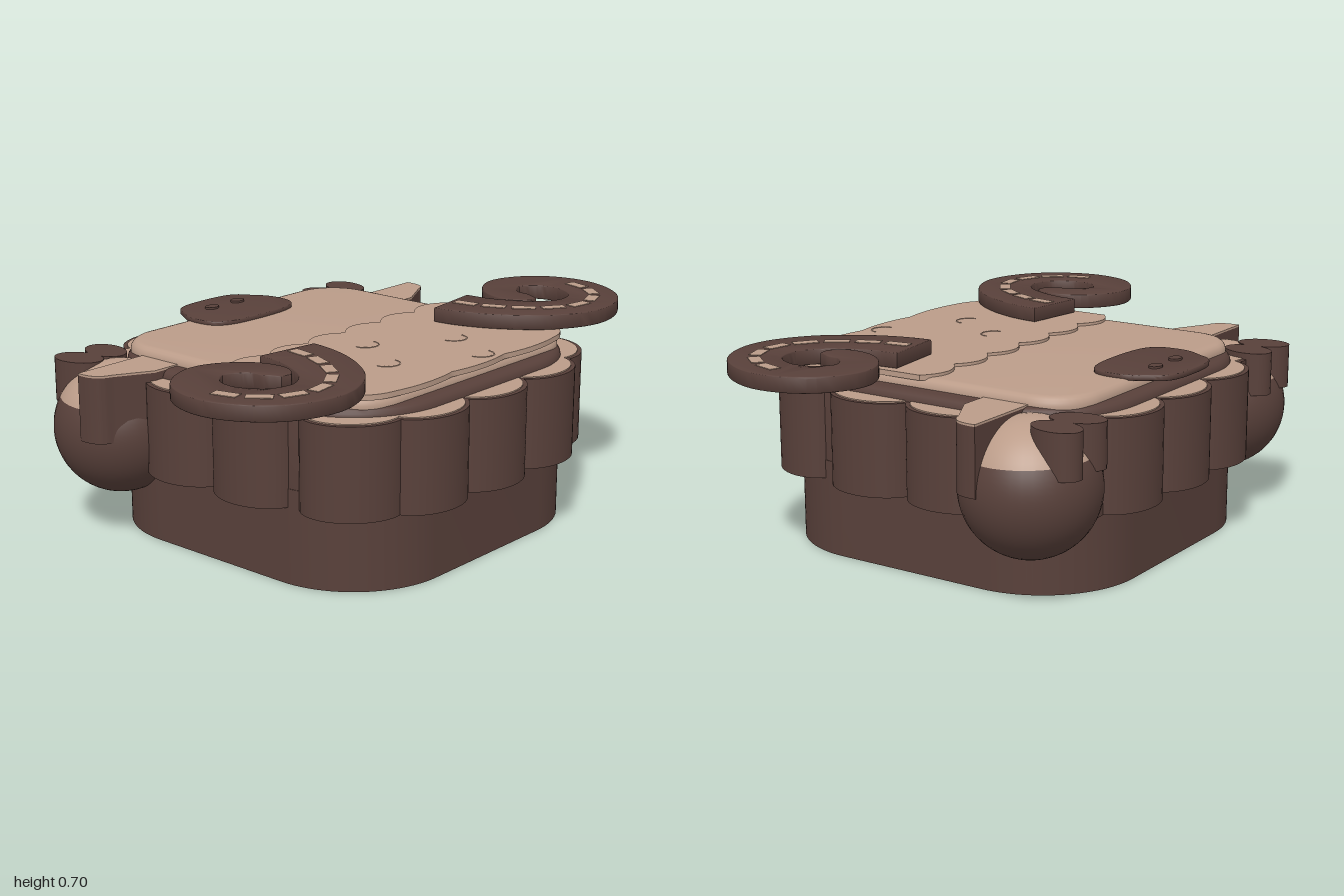
import * as THREE from 'three';
import { toCreasedNormals } from 'three/addons/utils/BufferGeometryUtils.js';

export function createModel() {
  const model = new THREE.Group();
  model.name = 'hornedBath';
  const dark = new THREE.MeshStandardMaterial({ color: 0x58403a });
  dark.name = 'dark brown';
  const tan = new THREE.MeshStandardMaterial({ color: 0xbb9c89 });
  tan.name = 'light brown';

  function add(name, geo, mat, x = 0, y = 0, z = 0) {
    const m = new THREE.Mesh(geo, mat);
    m.name = name;
    m.position.set(x, y, z);
    model.add(m);
    return m;
  }

  // Shapes are drawn with shape y = -z, then raised from y0 to y1
  function slab(name, shape, y0, y1, mat, bevel = 0, inset = bevel) {
    let geo = new THREE.ExtrudeGeometry(shape, {
      depth: y1 - y0 - 2 * bevel, curveSegments: 14, bevelEnabled: bevel > 0,
      bevelThickness: bevel, bevelSize: inset, bevelOffset: -inset, bevelSegments: 4,
    });
    geo.translate(0, 0, bevel);
    geo.rotateX(-Math.PI / 2);
    geo = toCreasedNormals(geo, 0.6);
    return add(name, geo, mat, 0, y0, 0);
  }

  function roundedRect(a, b, r, Type = THREE.Shape) {
    const s = new Type();
    s.moveTo(-a + r, -b);
    s.lineTo(a - r, -b);
    s.absarc(a - r, -b + r, r, -Math.PI / 2, 0);
    s.lineTo(a, b - r);
    s.absarc(a - r, b - r, r, 0, Math.PI / 2);
    s.lineTo(-a + r, b);
    s.absarc(-a + r, b - r, r, Math.PI / 2, Math.PI);
    s.lineTo(-a, -b + r);
    s.absarc(-a + r, -b + r, r, Math.PI, Math.PI * 1.5);
    return s;
  }

  // Body with a shallow recessed underside
  const skirt = roundedRect(0.628, 0.628, 0.35);
  skirt.holes.push(roundedRect(0.6, 0.6, 0.33, THREE.Path));
  slab('bodySkirt', skirt, 0, 0.32, dark);
  slab('bodyBlock', roundedRect(0.626, 0.626, 0.35), 0.22, 0.6, dark, 0.03);
  const lining = roundedRect(0.6, 0.6, 0.33);
  lining.holes.push(roundedRect(0.594, 0.594, 0.324, THREE.Path));
  slab('recessLining', lining, 0.004, 0.24, tan);
  slab('recessCeiling', roundedRect(0.594, 0.594, 0.324), 0.025, 0.25, tan, 0.06, 0.16);

  // Scalloped wool columns around the body: x, z, turn
  const scallops = [];
  for (const s of [-1, 1]) {
    scallops.push([0, 0.59 * s, 0]);
    for (const t of [-1, 1]) {
      scallops.push([0.295 * s, 0.578 * t, 0.08 * s * t], [0.588 * s, 0.152 * t, Math.PI / 2]);
      scallops.push([0.507 * s, 0.47 * t, (s * t * Math.PI) / 4]);
    }
  }
  const column = new THREE.CylinderGeometry(1, 1, 0.31, 40);
  const cap = new THREE.CylinderGeometry(1, 1, 0.008, 40);
  for (const [x, z, turn] of scallops) {
    const wool = add('woolColumn', column, dark, x, 0.413, z);
    wool.scale.set(0.165, 1, 0.13);
    wool.rotation.y = turn;
    const top = add('woolCap', cap, tan, x, 0.568, z);
    top.scale.set(0.151, 1, 0.115);
    top.rotation.y = turn;
  }

  // Cushioned top panel
  slab('topPanel', roundedRect(0.56, 0.57, 0.17), 0.56, 0.633, tan, 0.03, 0.03);

  // Blanket with wavy edges over the front half
  const blanket = new THREE.Shape();
  blanket.moveTo(-0.565, 0.0);
  for (let i = 0; i < 6; i++) {
    const x = -0.565 + (i * 1.13) / 6;
    blanket.quadraticCurveTo(x + 1.13 / 12, 0.085, x + 1.13 / 6, 0);
  }
  blanket.lineTo(0.572, -0.4);
  blanket.quadraticCurveTo(0.555, -0.555, 0.42, -0.57);
  for (let i = 0; i < 3; i++) {
    const x = 0.42 - i * 0.28;
    blanket.quadraticCurveTo(x - 0.14, -0.6, x - 0.28, -0.57);
  }
  blanket.quadraticCurveTo(-0.555, -0.555, -0.572, -0.4);
  slab('blanket', blanket, 0.625, 0.643, tan);

  // Small flat curls on the blanket
  const curl = new THREE.TorusGeometry(0.045, 0.003, 6, 16, Math.PI);
  curl.rotateX(Math.PI / 2);
  for (const [x, z] of [[-0.2, 0.35], [-0.07, 0.15], [0.09, 0.51], [0.19, 0.32]]) {
    add('woolCurl', curl, tan, x, 0.642, z);
  }

  // Snout plate with nostrils
  const snout = new THREE.Shape();
  snout.moveTo(0, 0.685);
  snout.bezierCurveTo(0.1, 0.685, 0.145, 0.675, 0.165, 0.625);
  snout.bezierCurveTo(0.185, 0.585, 0.213, 0.57, 0.213, 0.5);
  snout.bezierCurveTo(0.213, 0.4, 0.16, 0.385, 0, 0.383);
  snout.bezierCurveTo(-0.16, 0.385, -0.213, 0.4, -0.213, 0.5);
  snout.bezierCurveTo(-0.213, 0.57, -0.185, 0.585, -0.165, 0.625);
  snout.bezierCurveTo(-0.145, 0.675, -0.1, 0.685, 0, 0.685);
  slab('snout', snout, 0.627, 0.647, dark, 0.005);

  for (const s of [-1, 1]) {
    const nostril = add('nostril', new THREE.CylinderGeometry(0.028, 0.028, 0.012, 20), dark, s * 0.065, 0.648, -0.575);
    nostril.scale.z = 0.75;

    // Round foot: dark ball with a light upper cap
    const foot = new THREE.Group();
    foot.name = 'foot';
    foot.position.set(s * 0.62, 0.368, -0.46);
    foot.rotation.x = 0.03;
    const split = 1.09;
    const ball = new THREE.Mesh(new THREE.SphereGeometry(0.226, 40, 24, 0, Math.PI * 2, split, Math.PI - split), dark);
    ball.name = 'footBall';
    const crown = new THREE.Mesh(new THREE.SphereGeometry(0.226, 40, 12, 0, Math.PI * 2, 0, split), tan);
    crown.name = 'footCrown';
    foot.add(ball, crown);
    model.add(foot);

    // Two oval toes on each foot
    for (const t of [-1, 1]) {
      const toe = add('toe', new THREE.CylinderGeometry(0.063, 0.063, 0.15, 28), dark, s * 0.62 + t * 0.06, 0.515, -0.592);
      toe.scale.z = 1.45;
      toe.rotation.y = -t * 0.2;
    }

    // Ear with a light upper face
    const ear = new THREE.Shape();
    ear.moveTo(s * 0.54, 0.41);
    ear.lineTo(s * 0.843, 0.41);
    ear.quadraticCurveTo(s * 0.85, 0.325, s * 0.79, 0.312);
    ear.quadraticCurveTo(s * 0.71, 0.27, s * 0.66, 0.243);
    ear.lineTo(s * 0.54, 0.243);
    slab('ear', ear, 0.375, 0.598, dark);
    slab('earFace', ear, 0.598, 0.605, tan);

    // Flat spiral horn: x, half width, z along the centre line
    const path = new THREE.CatmullRomCurve3([
      [0.424, 0.113, 0.125], [0.435, 0.111, 0.21], [0.476, 0.108, 0.32], [0.56, 0.102, 0.435],
      [0.69, 0.096, 0.495], [0.835, 0.088, 0.45], [0.915, 0.083, 0.31], [0.885, 0.077, 0.175],
      [0.775, 0.068, 0.108], [0.68, 0.062, 0.15], [0.637, 0.058, 0.215], [0.637, 0.054, 0.275], [0.645, 0.02, 0.325],
    ].map(([x, w, z]) => new THREE.Vector3(s * x, w, z)));
    const left = [], right = [];
    const steps = 72;
    for (let i = 0; i <= steps; i++) {
      const p = path.getPointAt(i / steps);
      const d = path.getTangentAt(i / steps);
      const l = Math.hypot(d.x, d.z);
      const nx = (-d.z / l) * p.y, nz = (d.x / l) * p.y;
      left.push(new THREE.Vector2(p.x + nx, -(p.z + nz)));
      right.unshift(new THREE.Vector2(p.x - nx, -(p.z - nz)));
    }
    slab('horn', new THREE.Shape([...left, ...right]), 0.643, 0.696, dark, 0.006);

    // Light dashes along the horn
    for (let i = 0; i < 8; i++) {
      const u = 0.045 + i * 0.075;
      const p = path.getPointAt(u);
      const d = path.getTangentAt(u);
      const dash = add('hornDash', new THREE.BoxGeometry(0.084, 0.006, 0.04), tan, p.x, 0.695, p.z);
      dash.rotation.y = -Math.atan2(d.z, d.x);
    }
  }
  return model;
}
